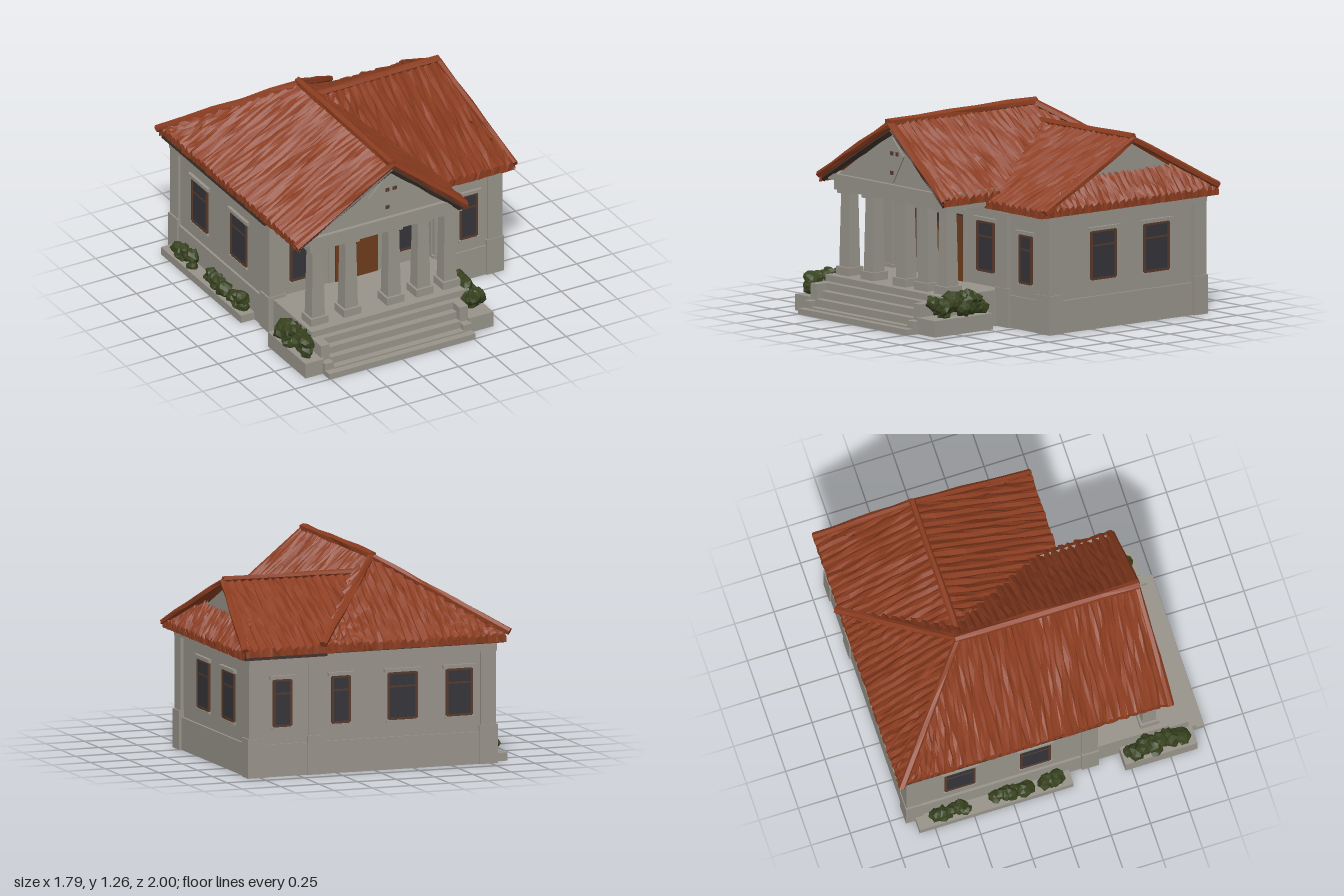
import * as THREE from 'three';
import { mergeGeometries } from 'three/addons/utils/BufferGeometryUtils.js';

const mat = (name, color, side = THREE.FrontSide) =>
  new THREE.MeshStandardMaterial({ name, color, side, flatShading: true });
const plaster = mat('plaster', 0x98948b);
const tile = mat('roof tile', 0x8c3d20, THREE.DoubleSide);
const eaveDark = mat('eave timber', 0x43322a);
const wood = mat('door wood', 0x6e3c1c);
const frameMat = mat('window frame', 0x593a2c);
const glassMat = mat('dark glass', 0x35353a);
const leaf = mat('leaf', 0x38431f);

let seed = 7;
const rnd = () => (seed = (seed * 16807) % 2147483647) / 2147483647;
const jit = (s) => (rnd() - 0.5) * 2 * s;
const lerp = THREE.MathUtils.lerp;

function add(parent, name, geo, material) {
  const m = new THREE.Mesh(geo, material);
  m.name = name;
  parent.add(m);
  return m;
}

// Box from its limits on each axis
function block(parent, name, [x0, x1], [y0, y1], [z0, z1], material = plaster) {
  const m = add(parent, name, new THREE.BoxGeometry(x1 - x0, y1 - y0, z1 - z0), material);
  m.position.set((x0 + x1) / 2, (y0 + y1) / 2, (z0 + z1) / 2);
  return m;
}

// Rough cap running between two points
function beam(parent, name, a, b, r, material = tile, sides = 6) {
  const p = new THREE.Vector3(...a), q = new THREE.Vector3(...b), d = q.clone().sub(p);
  const m = add(parent, name, new THREE.CylinderGeometry(r, r, d.length(), sides, 5), material);
  const pos = m.geometry.attributes.position, seen = {};
  for (let i = 0; i < pos.count; i++) {
    const key = [0, 1, 2].map((k) => Math.round(pos.getComponent(i, k) * 1e4)).join();
    const k = (seen[key] ??= 1 + jit(0.22));
    pos.setX(i, pos.getX(i) * k);
    pos.setZ(i, pos.getZ(i) * k);
  }
  m.position.copy(p).add(q).multiplyScalar(0.5);
  m.quaternion.setFromUnitVectors(new THREE.Vector3(0, 1, 0), d.normalize());
}

// Ribbed tile slope: runs along an axis, from eave [across, y] to ridge [across, y];
// b0..b1 is the eave's extent and t0..t1 the ridge's
function slope(parent, name, axis, eave, ridge, [b0, b1, t0, t1], rows = 7) {
  const u0 = Math.min(b0, t0), u1 = Math.max(b1, t1), n = Math.round((u1 - u0) / 0.05) * 3;
  const grid = [], out = [];
  for (let i = 0; i <= n; i++) {
    const u = lerp(u0, u1, i / n);
    let lo = 0, hi = 1;
    if (u < t0) hi = Math.min(hi, (u - b0) / (t0 - b0));
    if (u > t1) hi = Math.min(hi, (b1 - u) / (b1 - t1));
    if (u < b0) lo = Math.max(lo, (b0 - u) / (b0 - t0));
    if (u > b1) lo = Math.max(lo, (u - b1) / (t1 - b1));
    const col = [];
    for (let j = -1; j <= rows; j++) {
      const v = lerp(lo, hi, Math.max(j, 0) / rows);
      const edge = i === 0 || i === n;
      const uu = u + (edge ? 0 : jit(0.007));
      const rib = [-0.006, 0.016, 0.008][i % 3] + jit(0.006);
      const y = lerp(eave[1], ridge[1], v) + (j < 0 ? -0.04 : rib);
      const c = lerp(eave[0], ridge[0], v) + (j <= 0 ? jit(0.006) : 0);
      col.push(axis === 'z' ? [c, y, uu] : [uu, y, c]);
    }
    grid.push(col);
  }
  for (let i = 0; i < n; i++)
    for (let j = 0; j <= rows; j++) {
      const [a, b, c, d] = [grid[i][j], grid[i + 1][j], grid[i + 1][j + 1], grid[i][j + 1]];
      // wind so that the tiles face outward and up
      const flip = (axis === 'z') === (eave[0] < ridge[0]);
      out.push(...(flip ? [a, b, c, a, c, d] : [a, c, b, a, d, c]).flat());
    }
  const g = new THREE.BufferGeometry();
  g.setAttribute('position', new THREE.Float32BufferAttribute(out, 3));
  g.computeVertexNormals();
  add(parent, name, g, tile);
}

// Flat polygon with slight thickness, in the x-y plane
function plate(parent, name, pts, depth, material) {
  const s = new THREE.Shape(pts.map((p) => new THREE.Vector2(...p)));
  return add(parent, name, new THREE.ExtrudeGeometry(s, { depth, bevelEnabled: false }), material);
}

// Window centred at a wall point, turned to face outward
function windowAt(parent, x, y, z, w, h, turn) {
  const g = new THREE.Group();
  g.name = 'window';
  g.position.set(x, y, z);
  g.rotation.y = turn;
  parent.add(g);
  const f = 0.014, W = w / 2, H = h / 2;
  block(g, 'glass', [-W, W], [-H, H], [-0.004, 0.004], glassMat);
  for (const s of [-1, 1]) {
    block(g, 'frameSide', [s * W - f / 2, s * W + f / 2], [-H, H], [-0.002, 0.009], frameMat);
    block(g, 'frameRail', [-W, W], [s * H - f / 2, s * H + f / 2], [-0.002, 0.008], frameMat);
  }
  block(g, 'transom', [-W, W], [H * 0.38, H * 0.38 + 0.01], [-0.002, 0.007], frameMat);
  block(g, 'lintel', [-W - 0.03, W + 0.03], [H + 0.008, H + 0.03], [-0.01, 0.018]);
  block(g, 'sill', [-W - 0.015, W + 0.015], [-H - 0.02, -H - 0.007], [-0.01, 0.012]);
}

// Leafy clumps filling a box
function bush(parent, [x0, x1], [y0, y1], [z0, z1], count, r) {
  const parts = [];
  for (let i = 0; i < count; i++) {
    const g = new THREE.IcosahedronGeometry(r * (0.8 + rnd() * 0.4), 1), seen = {};
    const pos = g.attributes.position, v = new THREE.Vector3();
    for (let k = 0; k < pos.count; k++) {
      v.fromBufferAttribute(pos, k);
      const key = v.toArray().map((c) => Math.round(c * 1e4)).join();
      v.multiplyScalar((seen[key] ??= 0.75 + rnd() * 0.5));
      pos.setXYZ(k, v.x, v.y, v.z);
    }
    g.translate(lerp(x0 + r, x1 - r, rnd()), lerp(y0, y1 - r, rnd()), lerp(z0 + r, z1 - r, (i + rnd()) / count));
    parts.push(g);
  }
  add(parent, 'bush', mergeGeometries(parts), leaf);
}

export function createModel() {
  const house = new THREE.Group();
  house.name = 'house';

  // Walls, plinths and cornices
  block(house, 'mainWalls', [-0.77, 0.36], [0, 0.8], [-0.89, 0.3]);
  block(house, 'wingWalls', [0.33, 0.8], [0, 0.76], [-0.89, 0.33]);
  block(house, 'mainPlinth', [-0.785, 0.36], [0, 0.2], [-0.9, 0.31]);
  block(house, 'wingPlinth', [0.33, 0.815], [0, 0.2], [-0.9, 0.34]);
  block(house, 'mainCornice', [-0.79, 0.36], [0.69, 0.745], [-0.91, 0.32]);
  block(house, 'wingCornice', [0.33, 0.82], [0.69, 0.73], [-0.91, 0.35]);
  block(house, 'mainEave', [-0.82, 0.34], [0.745, 0.775], [-0.95, 0.31], eaveDark);
  block(house, 'wingEave', [0.33, 0.86], [0.73, 0.75], [-0.95, 0.41], eaveDark);

  // Corner pilasters with wider feet
  for (const [x, z] of [[-0.735, -0.855], [0.77, -0.855], [0.38, -0.855], [0.77, 0.295], [0.39, 0.305], [-0.735, 0.265]]) {
    block(house, 'pilaster', [x - 0.05, x + 0.05], [0, 0.7], [z - 0.05, z + 0.05]);
    block(house, 'pilasterFoot', [x - 0.06, x + 0.06], [0, 0.24], [z - 0.055, z + 0.055]);
  }

  // Windows on every side
  const P = Math.PI;
  for (const z of [-0.1, -0.52]) windowAt(house, 0.802, 0.45, z, 0.19, 0.29, P / 2);
  for (const z of [-0.08, -0.56]) windowAt(house, -0.772, 0.45, z, 0.18, 0.29, -P / 2);
  for (const [x, w] of [[0.6, 0.11], [0.22, 0.11], [-0.18, 0.18], [-0.55, 0.16]])
    windowAt(house, x, 0.45, -0.892, w, 0.28, P);
  windowAt(house, 0.59, 0.435, 0.332, 0.11, 0.29, 0);
  for (const x of [-0.555, 0.18]) windowAt(house, x, 0.46, 0.302, 0.15, 0.3, 0);

  // Door with glazed strip and surround
  block(house, 'doorSurround', [-0.37, 0.0], [0.22, 0.66], [0.29, 0.308]);
  block(house, 'doorGlass', [-0.325, -0.03], [0.22, 0.63], [0.3, 0.311], glassMat);
  block(house, 'doorLeaf', [-0.325, -0.19], [0.22, 0.56], [0.3, 0.315], wood);
  block(house, 'doorLeaf', [-0.18, -0.03], [0.22, 0.62], [0.3, 0.315], wood);

  // Porch floor, stairs and cheek walls
  block(house, 'porchFloor', [-0.76, 0.34], [0, 0.22], [0.3, 0.78]);
  for (let i = 0; i < 4; i++)
    block(house, 'step', [-0.7, 0.21], [0, 0.18 - i * 0.045], [0.77, 0.82 + i * 0.045]);
  block(house, 'bottomStep', [-0.76, 0.26], [0, 0.035], [0.77, 1.0]);
  for (const x of [-0.73, 0.235]) {
    block(house, 'cheekWall', [x - 0.03, x + 0.03], [0, 0.18], [0.75, 0.9]);
    block(house, 'cheekFoot', [x - 0.03, x + 0.03], [0, 0.08], [0.75, 0.95]);
  }

  // Tapered square columns
  for (const x of [-0.67, -0.44, -0.14, 0.065, 0.25]) {
    const shaft = add(house, 'columnShaft', new THREE.CylinderGeometry(0.052, 0.064, 0.48, 4, 1).rotateY(P / 4), plaster);
    shaft.position.set(x, 0.5, 0.665);
    block(house, 'columnBase', [x - 0.06, x + 0.06], [0.22, 0.27], [0.605, 0.725]);
    block(house, 'columnCapital', [x - 0.055, x + 0.055], [0.72, 0.75], [0.61, 0.72]);
  }

  // Entablature and pediment
  block(house, 'entablature', [-0.74, 0.32], [0.74, 0.8], [0.29, 0.73]);
  block(house, 'entablatureCap', [-0.78, 0.31], [0.8, 0.84], [0.29, 0.745]);
  plate(house, 'pediment', [[-0.72, 0.83], [0.29, 0.83], [-0.2, 1.17]], 0.03, plaster).position.z = 0.69;
  plate(house, 'pedimentDiamond', [[-0.33, 1.0], [-0.19, 0.85], [-0.09, 1.02], [-0.2, 1.13]], 0.008, plaster).position.z = 0.72;
  for (const [x, y] of [[-0.2, 1.03], [-0.15, 1.03], [-0.2, 0.91]])
    block(house, 'pedimentMark', [x - 0.014, x + 0.014], [y - 0.012, y + 0.012], [0.722, 0.731], frameMat);

  // Main roof: two long slopes and a rear hip
  slope(house, 'mainRoofLeft', 'z', [-0.83, 0.82], [-0.18, 1.22], [-0.95, 0.77, -0.38, 0.77]);
  slope(house, 'mainRoofRight', 'z', [0.34, 0.81], [-0.18, 1.22], [-0.95, 0.77, -0.38, 0.77]);
  slope(house, 'mainRoofBack', 'x', [-0.96, 0.79], [-0.38, 1.22], [-0.83, 0.35, -0.19, -0.17]);
  beam(house, 'mainRidge', [-0.185, 1.225, 0.77], [-0.18, 1.235, -0.4], 0.028);
  beam(house, 'hipCap', [-0.18, 1.225, -0.38], [-0.85, 0.81, -0.96], 0.024);
  beam(house, 'hipCap', [-0.18, 1.225, -0.38], [0.37, 0.81, -0.98], 0.024);
  for (const [x, y] of [[-0.85, 0.82], [0.33, 0.8]]) {
    beam(house, 'gableVerge', [-0.18, 1.215, 0.755], [x, y, 0.755], 0.024);
    beam(house, 'gableBoard', [-0.18, 1.175, 0.74], [x + (x < 0 ? 0.02 : -0.02), y - 0.025, 0.74], 0.022, eaveDark, 4);
  }

  // Wing roof: two slopes, a gable and a tiled skirt
  slope(house, 'wingRoofFront', 'x', [0.42, 0.765], [-0.36, 1.125], [0.3, 0.86, -0.1, 0.78]);
  slope(house, 'wingRoofBack', 'x', [-0.96, 0.79], [-0.36, 1.125], [0.1, 0.86, -0.1, 0.78]);
  slope(house, 'wingSkirt', 'z', [0.87, 0.77], [0.74, 0.93], [-0.96, 0.42, -0.74, 0.07], 4);
  beam(house, 'wingRidge', [-0.12, 1.13, -0.36], [0.78, 1.135, -0.36], 0.022);
  beam(house, 'wingVerge', [0.775, 1.125, -0.36], [0.865, 0.765, 0.42], 0.022);
  beam(house, 'wingVerge', [0.775, 1.125, -0.36], [0.865, 0.79, -0.96], 0.022);
  const gable = plate(house, 'wingGable', [[-0.1, 0.88], [0.75, 0.88], [0.36, 1.1]], 0.02, plaster);
  gable.rotation.y = P / 2;
  gable.position.x = 0.725;

  // Planters and bushes
  block(house, 'planter', [-0.88, -0.75], [0, 0.1], [0.46, 0.92]);
  block(house, 'planter', [0.26, 0.43], [0, 0.1], [0.46, 0.92]);
  block(house, 'sidePlanter', [-0.88, -0.77], [0, 0.05], [-0.85, 0.13]);
  bush(house, [-0.885, -0.755], [0.1, 0.25], [0.46, 0.91], 16, 0.045);
  bush(house, [0.27, 0.445], [0.1, 0.27], [0.45, 0.91], 20, 0.05);
  for (const [z0, z1] of [[-0.78, -0.5], [-0.4, -0.1], [-0.08, 0.1]])
    bush(house, [-0.875, -0.78], [0.05, 0.16], [z0, z1], 7, 0.04);

  return house;
}
